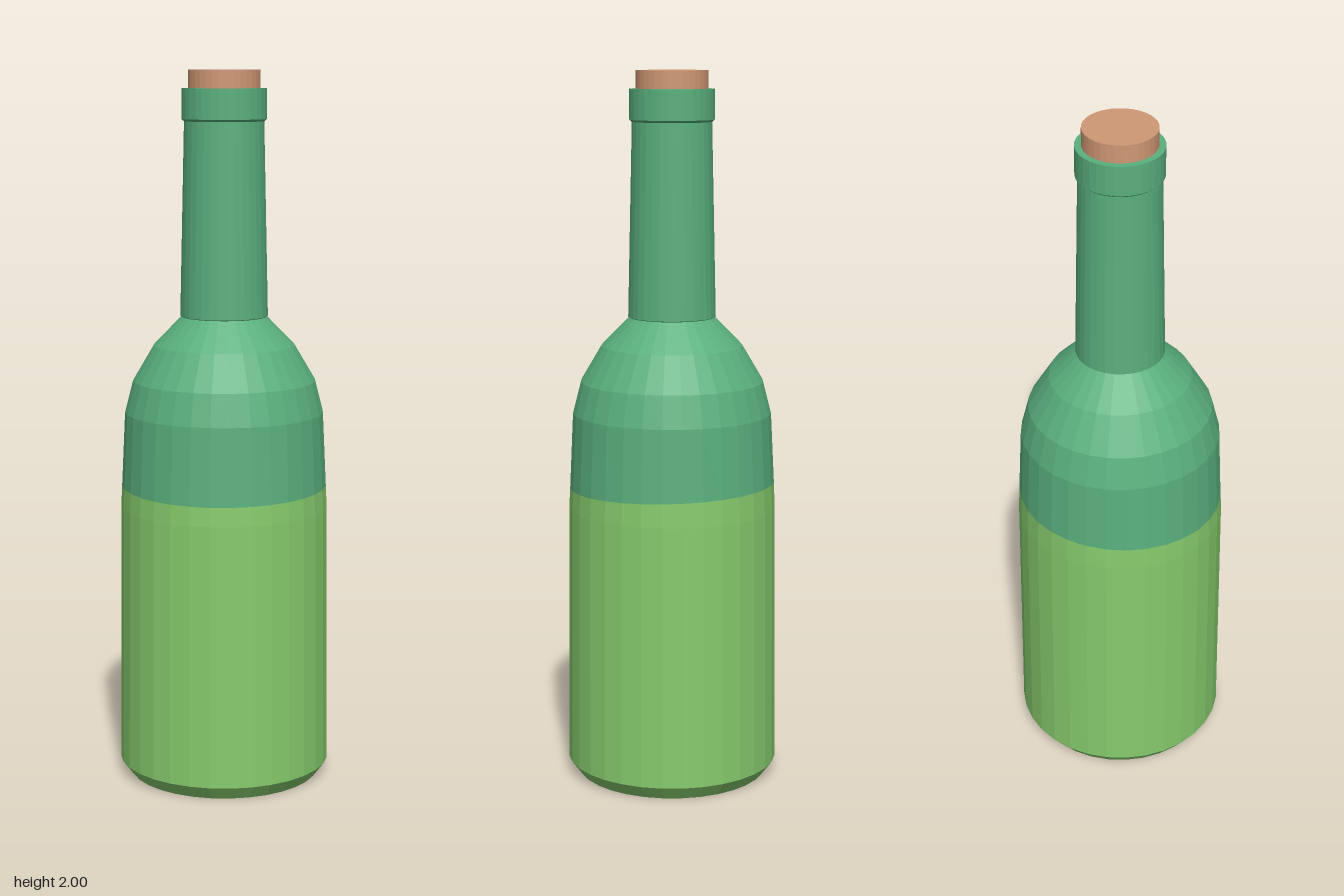
import * as THREE from 'three';

const SIDES = 32;
const FILL = 0.843; // mean height of the liquid line

const flat = (name, color) => {
  const m = new THREE.MeshStandardMaterial({ color, flatShading: true });
  m.name = name;
  return m;
};

// Turned part from [radius, height] points, bottom to top
function turned(name, points, material) {
  const geo = new THREE.LatheGeometry(points.map(([r, y]) => new THREE.Vector2(r, y)), SIDES);
  const pos = geo.attributes.position;
  // the liquid line tilts slightly, lower at the front
  for (let i = 0; i < pos.count; i++) {
    if (Math.abs(pos.getY(i) - FILL) < 1e-4) pos.setY(i, FILL - 0.035 * pos.getZ(i));
  }
  geo.computeVertexNormals();
  const mesh = new THREE.Mesh(geo, material);
  mesh.name = name;
  return mesh;
}

export function createModel() {
  const glass = flat('green glass', 0x5ab07e);
  const liquid = flat('light green liquid', 0x86ca6c);
  const cork = flat('cork', 0xd09875);

  const group = new THREE.Group();
  group.name = 'bottle';
  group.add(
    // filled lower body with a bevelled foot
    turned('filledBody', [[0, 0], [0.27, 0], [0.3, 0.04], [0.293, 0.78], [0.29, FILL]], liquid),
    // empty upper body and rounded shoulder
    turned('shoulder', [[0.29, FILL], [0.28, 1.05], [0.257, 1.14], [0.198, 1.24], [0.12, 1.32]], glass),
    // tapering neck
    turned('neck', [[0.12, 1.32], [0.123, 1.322], [0.111, 1.86]], glass),
    // lip ring with a flat top
    turned('lip', [[0.111, 1.86], [0.118, 1.866], [0.118, 1.95], [0.095, 1.95]], glass),
    // stopper
    turned('stopper', [[0.1, 1.94], [0.1, 2], [0, 2]], cork)
  );
  return group;
}
